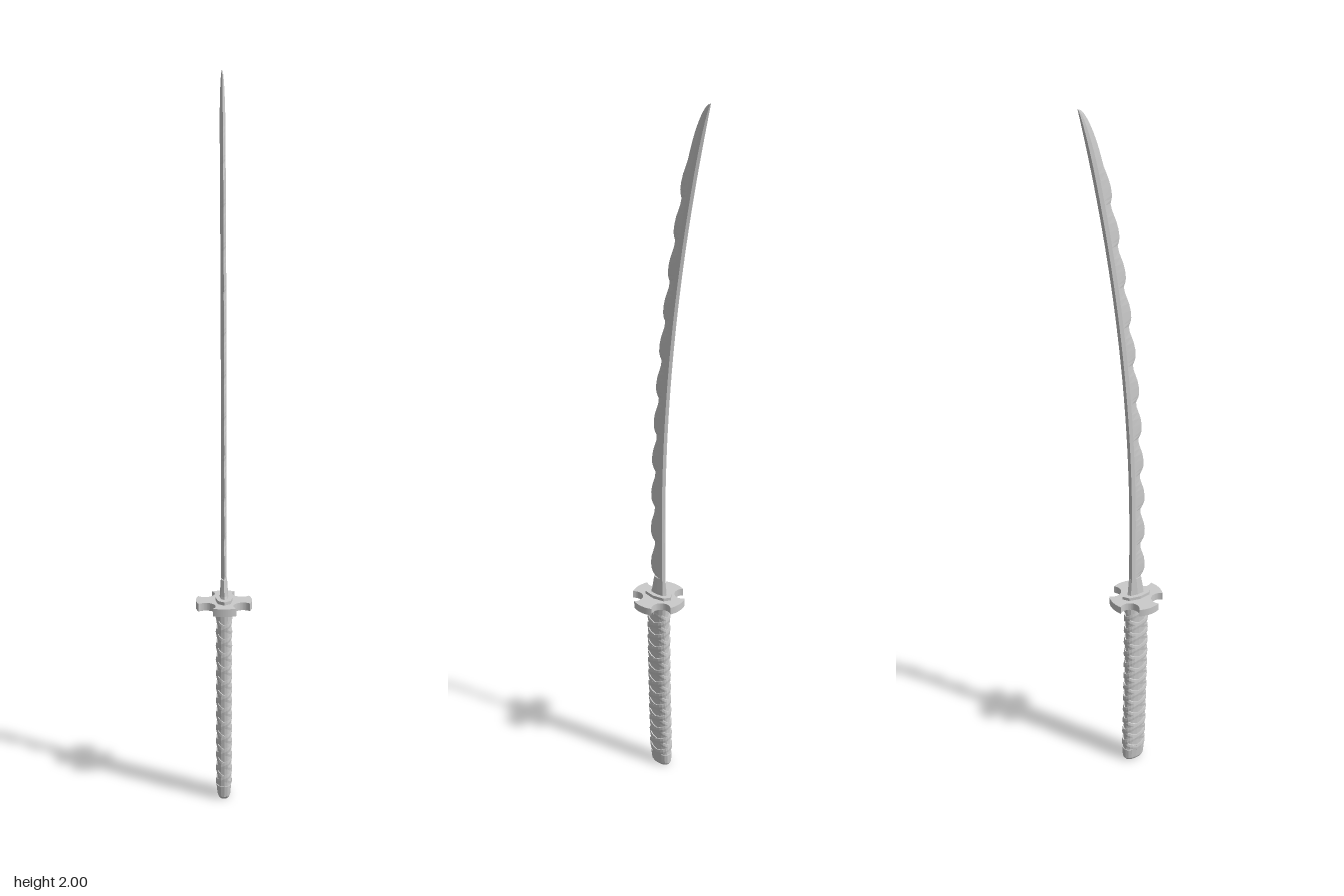
import * as THREE from 'three';

const material = new THREE.MeshStandardMaterial({ color: 0xcccccc, flatShading: true });

// Skin a list of equal rings (counter-clockwise about the sweep) and cap both ends
function loft(name, rings) {
  const n = rings[0].length, pos = [], index = [];
  rings.forEach(r => r.forEach(p => pos.push(...p)));
  for (let k = 0; k < rings.length - 1; k++) {
    for (let i = 0; i < n; i++) {
      const a = k * n + i, b = k * n + (i + 1) % n;
      index.push(a, b, b + n, a, b + n, a + n);
    }
  }
  const last = (rings.length - 1) * n;
  for (let i = 1; i < n - 1; i++) {
    index.push(0, i + 1, i, last, last + i, last + i + 1);
  }
  const g = new THREE.BufferGeometry();
  g.setAttribute('position', new THREE.Float32BufferAttribute(pos, 3));
  g.setIndex(index);
  g.computeVertexNormals();
  const mesh = new THREE.Mesh(g, material);
  mesh.name = name;
  return mesh;
}

// Rounded-oblong point around the grip; power < 1 squares it off
const around = (t, rx, rz, power = 0.8) => {
  const c = Math.cos(t), s = Math.sin(t);
  return [rx * Math.sign(c) * Math.abs(c) ** power, -rz * Math.sign(s) * Math.abs(s) ** power];
};
const gripZ = y => 0.045 - 0.028 * (0.56 - y) ** 2;
const oval = (y, rx, rz, n = 16, power = 0.8, cz = gripZ(y)) =>
  Array.from({ length: n }, (_, i) => {
    const [x, z] = around(i / n * Math.PI * 2, rx, rz, power);
    return [x, y, cz + z];
  });

// Curved blade with a scalloped cutting edge
const spineZ = y => 0.022 - 0.1 * Math.max(0, y - 0.8) ** 2;
const bladeWidth = y => 0.036 * Math.sqrt(Math.max(0, 1 - (Math.max(0, y - 1.84) / 0.16) ** 2));
function bladeRing(y, tooth) {
  const s = spineZ(y), w = bladeWidth(y), f = w / 0.036;
  const t = 0.0075 * f, ridge = s + w * 0.45, back = s + w * 0.12;
  return [[t, y, ridge], [t, y, back], [0, y, s], [-t, y, back], [-t, y, ridge], [0, y, s + w + tooth]];
}
function makeBlade() {
  const rings = [bladeRing(0.585, 0), bladeRing(0.64, 0)];
  const profile = [[0.04, 0], [0.14, 0.009], [0.24, 0.014], [0.42, 0.015], [0.6, 0.012], [0.76, 0.006], [0.9, 0.001]];
  const pitch = 0.111, teeth = 11;
  for (let k = 0; k < teeth; k++) {
    const size = 1 - 0.04 * k;
    for (const [u, out] of profile) rings.push(bladeRing(0.645 + (k + u) * pitch, out * size));
  }
  for (const y of [1.88, 1.9, 1.92, 1.94, 1.96, 1.975, 1.988, 1.996, 2]) rings.push(bladeRing(y, 0));
  return loft('blade', rings);
}

// Four-lobed guard: arcs of a disc joined by round cut-outs
function makeGuard() {
  const shape = new THREE.Shape();
  const a = Math.atan2(0.032, 0.07);
  for (let k = 0; k < 4; k++) {
    const q = k * Math.PI / 2, d = q + Math.PI / 4, r = 0.051 * Math.SQRT2;
    shape.absarc(0, 0, 0.077, q - a, q + a, false);
    shape.absarc(r * Math.cos(d), r * Math.sin(d), 0.027, q - Math.PI / 4, q + 3 * Math.PI / 4, true);
  }
  const g = new THREE.ExtrudeGeometry(shape, { depth: 0.022, bevelEnabled: false, curveSegments: 10 });
  g.rotateX(-Math.PI / 2);
  g.translate(0, 0.567, 0.045);
  const mesh = new THREE.Mesh(g, material);
  mesh.name = 'guard';
  return mesh;
}

// One flat cord winding around the grip; dir sets its handedness
function makeCord(dir, phase) {
  const rings = [], turns = 6, steps = 20 * turns, y0 = 0.045, y1 = 0.538;
  for (let i = 0; i <= steps; i++) {
    const f = i / steps, t = phase + dir * f * turns * Math.PI * 2;
    const y = y0 + (y1 - y0) * f, h = 0.0085;
    const out = dir > 0 ? 0.0045 : 0.0035;
    const corner = (o, dy) => {
      const [x, z] = around(t, 0.0185 + o, 0.0325 + o);
      return [x, y + dy, gripZ(y) + z];
    };
    const ring = [corner(-0.002, -h), corner(out - 0.001, -h), corner(out, 0), corner(out - 0.001, h), corner(-0.002, h)];
    rings.push(dir > 0 ? ring.reverse() : ring);
  }
  return loft('gripCord', rings);
}

export function createModel() {
  const model = new THREE.Group();
  model.name = 'curvedSword';

  model.add(makeBlade(), makeGuard());

  // Collar at the root of the blade
  model.add(loft('bladeCollar', [
    oval(0.585, 0.0125, 0.031, 8, 0.8, 0.045),
    oval(0.605, 0.0115, 0.026, 8, 0.8, 0.043),
    oval(0.65, 0.0085, 0.02, 8, 0.8, 0.041),
  ]));

  // Thin washers above and below the guard
  for (const y of [0.558, 0.588]) {
    model.add(loft('guardWasher', [
      oval(y, 0.024, 0.046, 8, 0.9, 0.046),
      oval(y + 0.01, 0.024, 0.046, 8, 0.9, 0.046),
    ]));
  }

  // Grip core with end fittings
  const levels = Array.from({ length: 9 }, (_, i) => 0.03 + i * 0.065);
  model.add(loft('gripCore', levels.map(y => oval(Math.min(y, 0.55), 0.0185, 0.0325))));
  model.add(loft('gripCollar', [oval(0.538, 0.0215, 0.036), oval(0.56, 0.0215, 0.036)]));
  model.add(loft('pommel', [
    oval(0, 0.015, 0.027),
    oval(0.008, 0.0185, 0.0325),
    oval(0.04, 0.0215, 0.0345),
  ]));

  // Criss-cross wrapping
  const wrap = new THREE.Group();
  wrap.name = 'gripWrap';
  for (const dir of [1, -1]) {
    for (const phase of [0, Math.PI]) wrap.add(makeCord(dir, phase));
  }
  model.add(wrap);
  return model;
}
